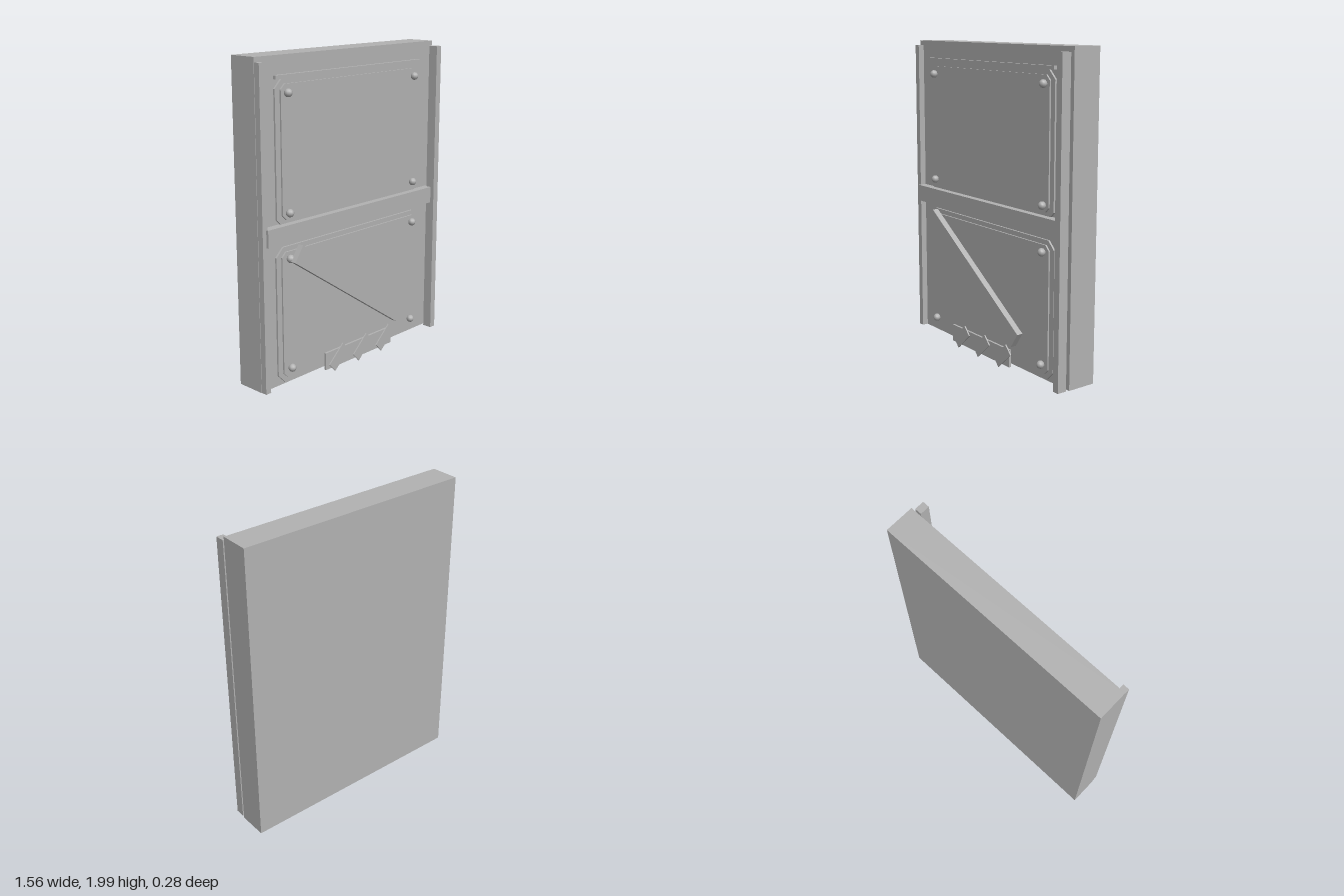
import * as THREE from 'three';

export function createModel() {
  const model = new THREE.Group();
  const grey = new THREE.MeshStandardMaterial({ color: 0xb2b2b2 });
  grey.name = 'plain grey';

  const add = (name, geometry) => {
    const mesh = new THREE.Mesh(geometry, grey);
    mesh.name = name;
    model.add(mesh);
    return mesh;
  };

  // Box given by its limits on each axis
  const box = (name, x0, x1, y0, y1, z0, z1) => {
    const mesh = add(name, new THREE.BoxGeometry(x1 - x0, y1 - y0, z1 - z0));
    mesh.position.set((x0 + x1) / 2, (y0 + y1) / 2, (z0 + z1) / 2);
    return mesh;
  };

  // Box turned in the plane of the door
  const tilted = (name, x, y, length, width, angle, z0, z1) => {
    const mesh = box(name, x - length / 2, x + length / 2, y - width / 2, y + width / 2, z0, z1);
    mesh.rotation.z = angle;
    return mesh;
  };

  // Plate with cut corners
  const plate = (name, x0, x1, y0, y1, cut, z0, z1) => {
    const shape = new THREE.Shape([
      [x0 + cut, y0], [x1 - cut, y0], [x1, y0 + cut], [x1, y1 - cut],
      [x1 - cut, y1], [x0 + cut, y1], [x0, y1 - cut], [x0, y0 + cut],
    ].map(([x, y]) => new THREE.Vector2(x, y)));
    const geometry = new THREE.ExtrudeGeometry(shape, { depth: z1 - z0, bevelEnabled: false });
    add(name, geometry).position.z = z0;
  };

  // Slab and side rails
  box('slab', -0.78, 0.78, 0.02, 2, -0.14, 0.048);
  box('rightRail', -0.777, -0.738, 0.02, 1.97, 0.046, 0.087);
  box('leftRail', 0.73, 0.775, 0.02, 1.97, 0.068, 0.13);

  // Stepped panels
  plate('upperPanelBorder', -0.64, 0.635, 1.0, 1.87, 0.055, 0.048, 0.06);
  plate('upperPanel', -0.603, 0.6, 1.048, 1.838, 0.03, 0.06, 0.07);
  plate('lowerPanelBorder', -0.65, 0.645, 0.033, 0.885, 0.055, 0.048, 0.06);
  plate('lowerPanel', -0.613, 0.607, 0.065, 0.855, 0.03, 0.06, 0.07);

  // Crossbar, top strip and diagonal brace
  box('crossbar', -0.75, 0.745, 0.92, 1.027, 0.048, 0.104);
  box('topStrip', -0.64, 0.635, 1.868, 1.89, 0.048, 0.07);
  tilted('diagonalBrace', -0.084, 0.538, 1.106, 0.115, -0.595, 0.1, 0.14);

  // Corner rivets
  const rivet = new THREE.SphereGeometry(0.025, 10, 6);
  for (const y of [0.123, 0.813, 1.09, 1.788]) {
    for (const x of [-0.56, 0.56]) add('rivet', rivet).position.set(x, y, 0.085);
  }

  // Kick plate with slanted stripes
  box('kickPlate', -0.31, 0.307, 0.035, 0.147, 0.11, 0.124);
  for (const x of [-0.197, 0.022, 0.241]) {
    tilted('warningStripe', x, 0.092, 0.166, 0.074, 0.74, 0.124, 0.132);
  }

  return model;
}
